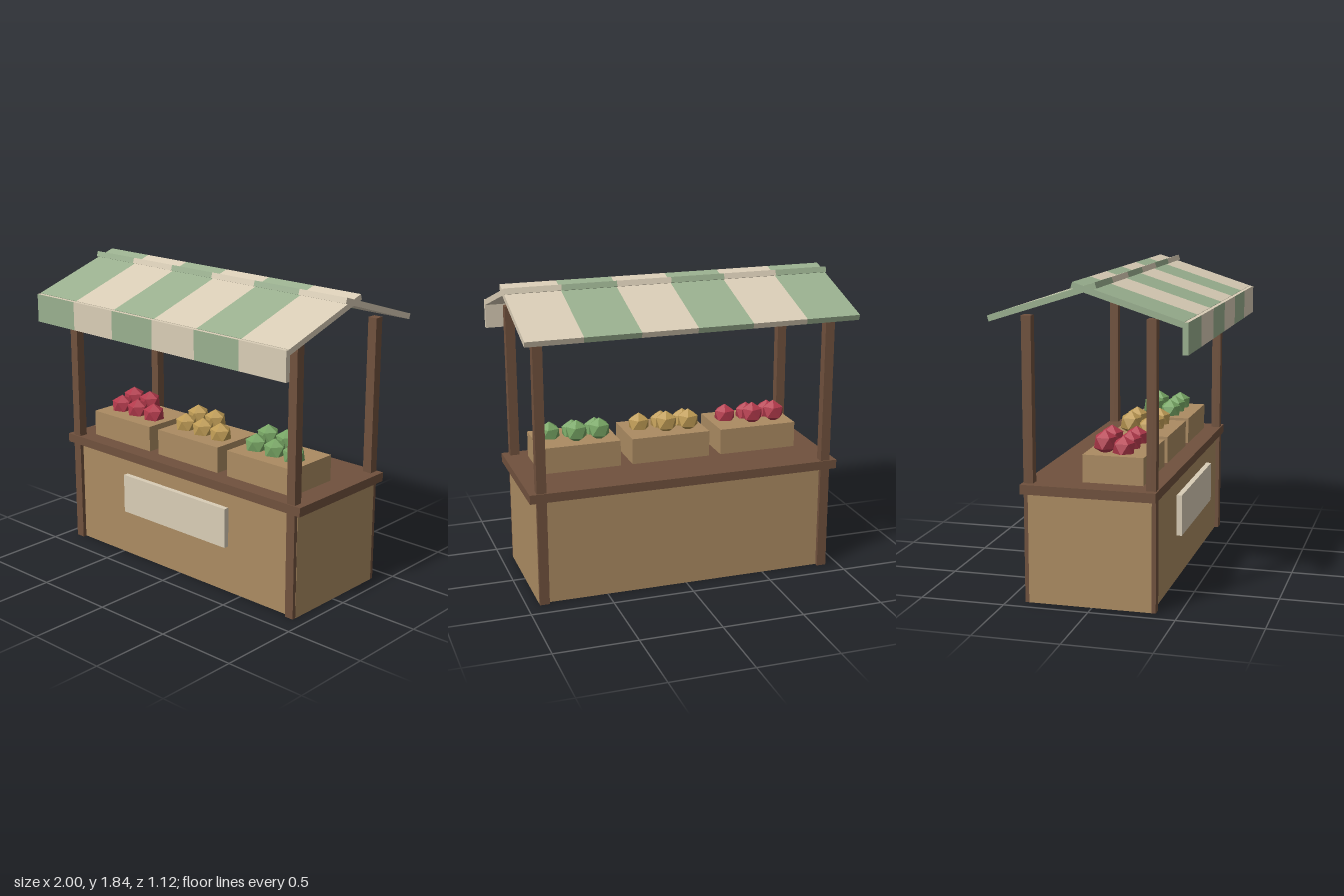
import * as THREE from 'three';

const mat = (name, color) => {
  const m = new THREE.MeshStandardMaterial({ color });
  m.name = name;
  return m;
};

export function createModel() {
  const stall = new THREE.Group();
  stall.name = 'marketStall';
  const darkWood = mat('darkWood', 0x70513d);
  const lightWood = mat('lightWood', 0xab8b62);
  const cream = mat('creamCloth', 0xd9cdb6);
  const green = mat('greenCloth', 0x9ab08f);
  const fruitColours = [
    mat('redFruit', 0xb33a4c),
    mat('goldFruit', 0xbd9a54),
    mat('greenFruit', 0x76a463),
  ];
  const midZ = -0.012; // centre of the stall frame

  const box = (parent, name, material, size, pos) => {
    const mesh = new THREE.Mesh(new THREE.BoxGeometry(...size), material);
    mesh.name = name;
    mesh.position.set(...pos);
    parent.add(mesh);
    return mesh;
  };

  // Stand: body, counter top, sign board and four posts
  box(stall, 'body', lightWood, [1.848, 0.645, 0.718], [0, 0.3235, midZ]);
  box(stall, 'counterTop', darkWood, [1.93, 0.055, 0.782], [0, 0.6725, midZ]);
  box(stall, 'signBoard', cream, [0.85, 0.245, 0.032], [0, 0.4325, 0.389]);
  for (const x of [-0.893, 0.893]) {
    for (const z of [-0.355, 0.355]) {
      box(stall, 'post', darkWood, [0.058, 1.645, 0.056], [x, 0.8225, midZ + z]);
    }
  }

  // Cloth panel made of six alternating stripes
  const stripedPanel = (name, height, depth, plainTop) => {
    const panel = new THREE.Group();
    panel.name = name;
    for (let i = 0; i < 6; i++) {
      const colour = i % 2 ? cream : green;
      const faces = plainTop ? [colour, colour, cream, colour, colour, colour] : colour;
      box(panel, 'stripe', faces, [1 / 3, height, depth], [-1 + (i + 0.5) / 3, 0, 0]);
    }
    stall.add(panel);
    return panel;
  };

  // Two roof slopes crossing at the ridge, and the front valance
  for (const side of [1, -1]) {
    const slope = stripedPanel(side > 0 ? 'frontRoof' : 'backRoof', 0.034, 0.643, false);
    slope.position.set(0, 1.729, midZ + side * 0.239);
    slope.rotation.x = side * 0.308;
  }
  stripedPanel('valance', 0.175, 0.031, true).position.set(0, 1.558, 0.546);

  // Fruit: icosahedron standing on a vertex
  const fruitGeometry = new THREE.IcosahedronGeometry(0.072, 0);
  fruitGeometry.rotateX(-Math.atan((1 + Math.sqrt(5)) / 2));
  fruitGeometry.rotateY(Math.PI / 2);

  // Three crates, each with a front row of three fruits and two raised behind
  fruitColours.forEach((colour, c) => {
    const x = (c - 1) * 0.572;
    box(stall, 'crate', lightWood, [0.497, 0.16, 0.355], [x, 0.78, 0.097]);
    for (let i = 0; i < 5; i++) {
      const row = Math.floor(i / 3);
      const fruit = new THREE.Mesh(fruitGeometry, colour);
      fruit.name = 'fruit';
      fruit.position.set(x + ((i % 3) - 1) * 0.143, 0.885 + row * 0.03, 0.132 - row * 0.108);
      stall.add(fruit);
    }
  });

  return stall;
}
